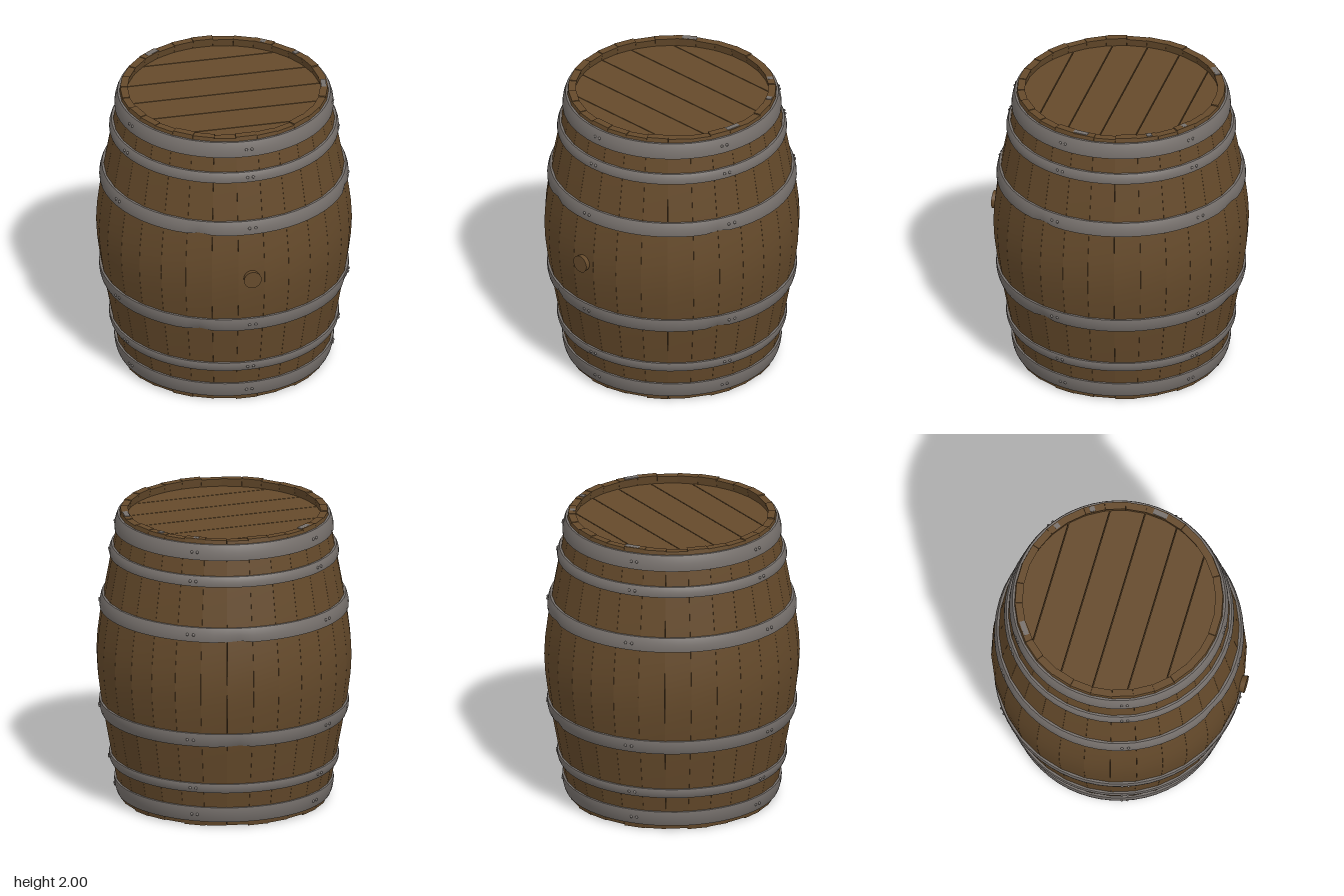
import * as THREE from 'three';
import { toCreasedNormals } from 'three/addons/utils/BufferGeometryUtils.js';

const STAVES = 30;
const STEP = (Math.PI * 2) / STAVES;
const WALL = 0.05;

// Outer radius of the barrel at height y: rounded belly, nearly straight ends
const bulge = (y) => 0.895 - Math.sqrt(0.045 ** 2 + (0.2 * (y - 1)) ** 2);

export function createModel() {
  const wood = new THREE.MeshStandardMaterial({ name: 'wood', color: 0x654a2b });
  const metal = new THREE.MeshStandardMaterial({ name: 'metal', color: 0x77716d });

  const barrel = new THREE.Group();
  barrel.name = 'barrel';
  barrel.position.z = -0.015;

  const add = (parent, name, geometry, material) => {
    const mesh = new THREE.Mesh(geometry, material);
    mesh.name = name;
    parent.add(mesh);
    return mesh;
  };
  const addGroup = (name) => {
    const group = new THREE.Group();
    group.name = name;
    barrel.add(group);
    return group;
  };

  // Staves: subdivided boxes bent to the bulging profile
  const staves = addGroup('staves');
  for (let i = 0; i < STAVES; i++) {
    const geometry = new THREE.BoxGeometry(1, 1, 1, 1, 16, 1);
    const p = geometry.attributes.position;
    const trim = 0.004 * ((i * 7) % 3);
    for (let k = 0; k < p.count; k++) {
      const y = THREE.MathUtils.lerp(trim, 2 - trim, p.getY(k) + 0.5);
      const r = bulge(y) - (p.getZ(k) < 0 ? WALL : 0);
      const a = STEP * (i + p.getX(k) * 0.992);
      p.setXYZ(k, r * Math.sin(a), y, r * Math.cos(a));
    }
    geometry.computeVertexNormals();
    add(staves, 'stave', geometry, wood);
  }

  // Heads: round lids cut into planks with narrow gaps
  const cuts = [-0.65, -0.475, -0.235, -0.005, 0.225, 0.455, 0.65];
  const addHead = (name, y) => {
    const head = addGroup(name);
    head.position.y = y;
    const R = 0.65;
    for (let i = 0; i < cuts.length - 1; i++) {
      const z0 = cuts[i] + 0.003, z1 = cuts[i + 1] - 0.003;
      const right = [], left = [];
      for (let k = 0; k <= 10; k++) {
        const z = THREE.MathUtils.lerp(z0, z1, k / 10);
        const x = Math.sqrt(R * R - z * z);
        right.push(new THREE.Vector2(x, z));
        left.unshift(new THREE.Vector2(-x, z));
      }
      const geometry = new THREE.ExtrudeGeometry(new THREE.Shape([...right, ...left]), { depth: 0.04, bevelEnabled: false });
      geometry.rotateX(Math.PI / 2);
      add(head, 'plank', geometry, wood);
    }
  };
  addHead('topHead', 1.94);
  addHead('bottomHead', 0.1);

  // Hoops: [bottom, top, dented], with rivet pairs around each
  const hoops = [
    [0.035, 0.14, false], [0.25, 0.315, false], [0.59, 0.685, true],
    [1.325, 1.42, true], [1.69, 1.76, false], [1.865, 1.97, false],
  ];
  const dents = [-0.42, 1.15, 2.9];
  const rivetGeometry = new THREE.SphereGeometry(0.01, 8, 6);
  for (const [y0, y1, dented] of hoops) {
    const hoop = addGroup('hoop');
    const at = (t, out) => {
      const y = THREE.MathUtils.lerp(y0, y1, t);
      return new THREE.Vector2(bulge(y) + out, y);
    };
    const profile = [
      at(0, -0.01), at(0, 0.012), at(0.2, 0.017), at(0.5, 0.019),
      at(0.8, 0.017), at(1, 0.012), at(1, -0.01),
    ];
    const geometry = new THREE.LatheGeometry(profile, 60, STEP / 2);
    if (dented) {
      const p = geometry.attributes.position;
      for (let k = 0; k < p.count; k++) {
        const a = Math.atan2(p.getX(k), p.getZ(k));
        const depth = dents.reduce((sum, d) => sum + Math.exp(-(((a - d) / 0.07) ** 2)), 0);
        const low = 1 - (p.getY(k) - y0) / (y1 - y0);
        const s = 1 - 0.012 * depth * low;
        p.setXYZ(k, p.getX(k) * s, p.getY(k) + 0.012 * depth * low, p.getZ(k) * s);
      }
    }
    add(hoop, 'band', toCreasedNormals(geometry, 0.6), metal);

    const y = (y0 + y1) / 2;
    for (let i = 0; i < 10; i++) {
      const a = Math.floor(i / 2) * Math.PI * 0.4 + (i % 2 ? 0.04 : -0.012);
      const r = bulge(y) + 0.018;
      const rivet = add(hoop, 'rivet', rivetGeometry, metal);
      rivet.position.set(r * Math.sin(a), y, r * Math.cos(a));
    }
  }

  // Small worn metal patches on the top rim: [angle, length]
  for (const [a, length] of [[-2.55, 0.1], [2.52, 0.035], [2.12, 0.035], [1.42, 0.1]]) {
    const patch = add(barrel, 'rimPatch', new THREE.BoxGeometry(length, 0.006, 0.035), metal);
    patch.position.set(0.662 * Math.sin(a), 1.998, 0.662 * Math.cos(a));
    patch.rotation.y = a;
  }

  // Bung plugging the front of the belly
  const bung = add(barrel, 'bung', new THREE.CylinderGeometry(0.06, 0.05, 0.07, 20), wood);
  bung.rotation.x = Math.PI / 2;
  bung.position.set(0, 1.005, 0.845);

  const model = new THREE.Group();
  model.name = 'model';
  model.add(barrel);
  return model;
}
